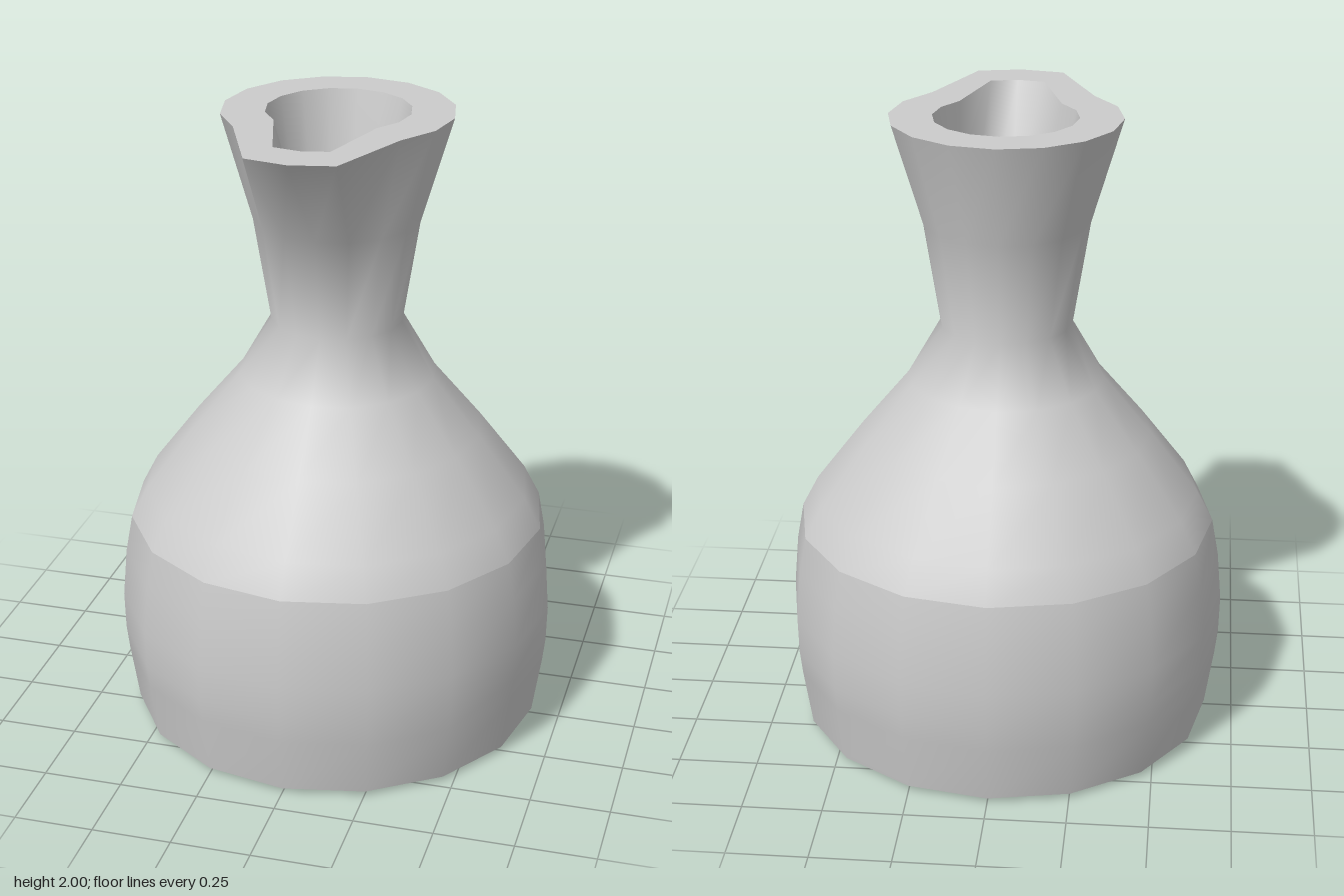
import * as THREE from 'three';

const SIDES = 16;

// Closed ring of points; `spout` pulls the three front points forward.
function ring(y, r, spout = 0, cz = 0) {
  return Array.from({ length: SIDES }, (_, i) => {
    const a = (i / SIDES) * Math.PI * 2;
    const pull = i <= 1 || i === SIDES - 1 ? spout : 0;
    return [Math.sin(a) * r, y, Math.cos(a) * r + cz + pull];
  });
}

// Smooth skin through a series of rings; separate skins keep the edges between them sharp.
function skin(name, rings, material) {
  const index = [];
  for (let j = 0; j < rings.length - 1; j++) {
    for (let i = 0; i < SIDES; i++) {
      const n = (i + 1) % SIDES;
      const a = j * SIDES + i, b = j * SIDES + n;
      index.push(a, b, b + SIDES, a, b + SIDES, a + SIDES);
    }
  }
  const geometry = new THREE.BufferGeometry();
  geometry.setAttribute('position', new THREE.Float32BufferAttribute(rings.flat(2), 3));
  geometry.setIndex(index);
  geometry.computeVertexNormals();
  const mesh = new THREE.Mesh(geometry, material);
  mesh.name = name;
  return mesh;
}

export function createModel() {
  const model = new THREE.Group();
  model.name = 'carafe';
  const grey = new THREE.MeshStandardMaterial({ color: 0xcccccc });

  const outerRim = ring(2, 0.357, 0.2, -0.012);
  const innerRim = ring(2, 0.223, 0.205, -0.015);
  const profile = (points) => points.map(([r, y]) => ring(y, r));

  model.add(
    // Flat underside with a shallow bevel
    skin('base', profile([[0.001, 0], [0.58, 0], [0.66, 0.015]]), grey),
    // Gently bulging lower body
    skin('lowerBody', profile([[0.66, 0.015], [0.688, 0.2], [0.697, 0.28], [0.7, 0.4], [0.686, 0.56], [0.664, 0.68]]), grey),
    // Shoulder, narrow neck and flared mouth drawn out into a spout
    skin('shoulderAndNeck', [
      ...profile([[0.664, 0.68], [0.612, 0.78], [0.46, 0.98], [0.31, 1.16], [0.207, 1.34], [0.26, 1.67]]),
      outerRim,
    ], grey),
    // Flat lip
    skin('rim', [outerRim, innerRim], grey),
    // Hollow inside
    skin('innerWall', [
      innerRim,
      ...profile([[0.16, 1.67], [0.127, 1.34], [0.22, 1.14], [0.52, 0.75], [0.58, 0.64], [0.61, 0.4], [0.58, 0.08]]),
    ], grey),
    skin('innerFloor', profile([[0.58, 0.08], [0.001, 0.08]]), grey),
  );
  return model;
}
